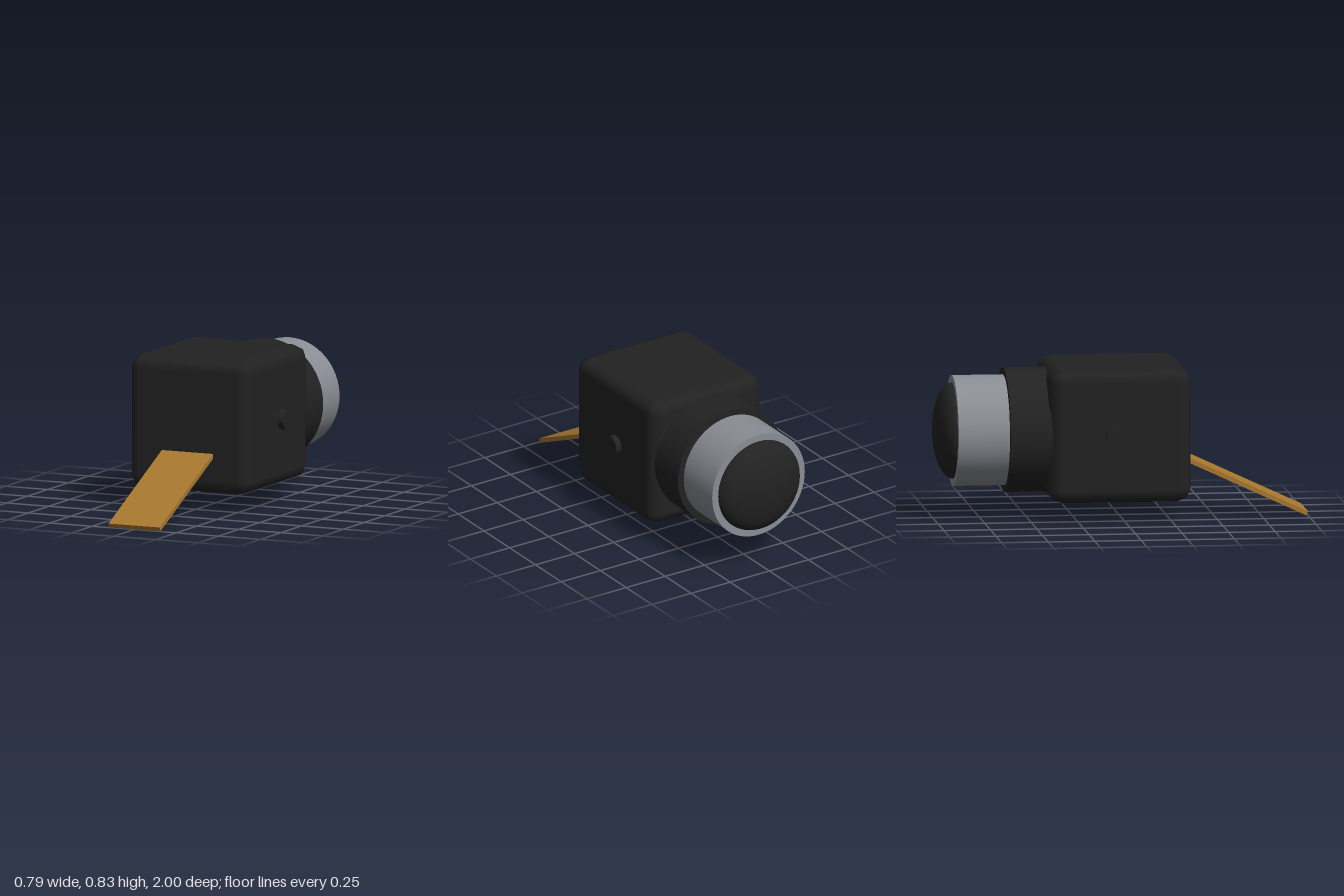
import * as THREE from 'three';
import { RoundedBoxGeometry } from 'three/addons/geometries/RoundedBoxGeometry.js';

const material = (name, color) => {
  const m = new THREE.MeshStandardMaterial({ color });
  m.name = name;
  return m;
};

export function createModel() {
  const group = new THREE.Group();
  const black = material('matte black', 0x222222);
  const steel = material('steel grey', 0x8a8d94);
  const amber = material('amber brown', 0xa87830);
  const axisY = 0.468;

  const add = (name, geometry, mat, x, y, z) => {
    const mesh = new THREE.Mesh(geometry, mat);
    mesh.name = name;
    mesh.position.set(x, y, z);
    group.add(mesh);
    return mesh;
  };
  // Cylinder along z between two depths
  const barrel = (name, radius, z0, z1, mat) => {
    const g = new THREE.CylinderGeometry(radius, radius, z0 - z1, 64);
    g.rotateX(Math.PI / 2);
    return add(name, g, mat, 0, axisY, (z0 + z1) / 2);
  };

  // Rounded head block
  add('body', new RoundedBoxGeometry(0.72, 0.72, 0.76, 1, 0.07), black, 0, axisY - 0.001, -0.03);

  // Stepped barrel at the back
  barrel('collar', 0.333, -0.3, -0.62, black);
  barrel('sleeve', 0.296, -0.6, -0.895, steel);

  // Shallow domed end cap
  const dome = new THREE.SphereGeometry(0.258, 48, 16, 0, Math.PI * 2, 0, Math.PI / 2);
  dome.rotateX(-Math.PI / 2);
  dome.scale(1, 1, 0.11 / 0.258);
  add('endCap', dome, black, 0, axisY, -0.89);

  // Pivot pins on both sides
  for (const side of [-1, 1]) {
    const pin = new THREE.CylinderGeometry(0.053, 0.053, 0.095, 32);
    pin.rotateZ(Math.PI / 2);
    add(side > 0 ? 'leftPin' : 'rightPin', pin, black, side * 0.3465, axisY, -0.06);
  }

  // Sloping tongue out of the front
  const tongue = add('tongue', new THREE.BoxGeometry(0.304, 0.024, 0.9), amber, 0, 0.2013, 0.587);
  tongue.rotation.x = THREE.MathUtils.degToRad(25);

  return group;
}
